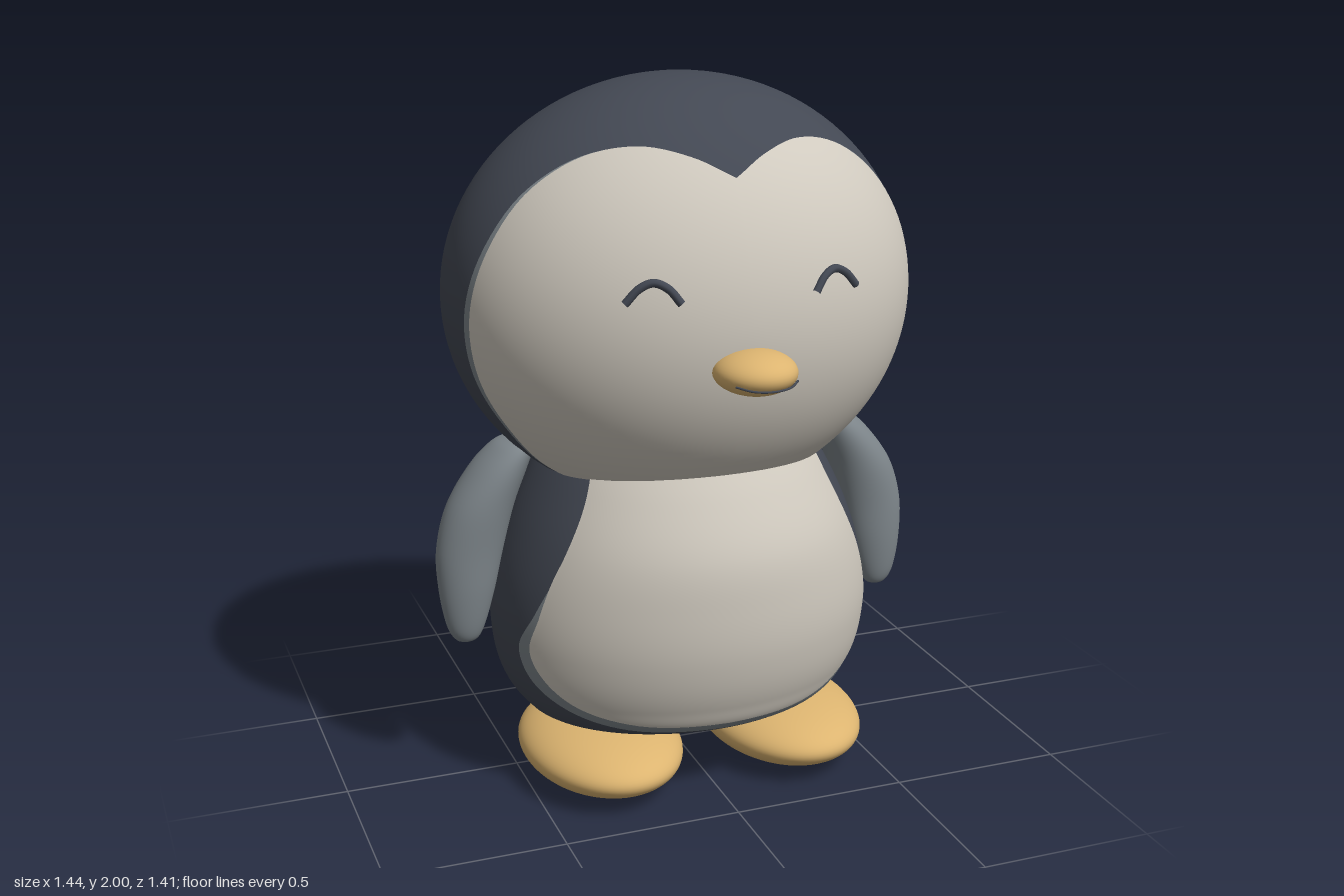
import * as THREE from 'three';
import { mergeVertices } from 'three/addons/utils/BufferGeometryUtils.js';
import { RoundedBoxGeometry } from 'three/addons/geometries/RoundedBoxGeometry.js';

const material = (name, color) => {
  const m = new THREE.MeshStandardMaterial({ color });
  m.name = name;
  return m;
};

export function createModel() {
  const dark = material('darkSlate', 0x434853);
  const cream = material('cream', 0xd0cabf);
  const grey = material('grey', 0x7d858a);
  const gold = material('gold', 0xdcb470);

  const model = new THREE.Group();
  model.name = 'penguin';

  const add = (name, geometry, mat, x = 0, y = 0, z = 0, parent = model) => {
    const mesh = new THREE.Mesh(geometry, mat);
    mesh.name = name;
    mesh.position.set(x, y, z);
    parent.add(mesh);
    return mesh;
  };
  const ellipsoid = (rx, ry, rz, n = 40) => new THREE.SphereGeometry(1, n * 2, n).scale(rx, ry, rz);
  const tube = (points, radius, n = 32) =>
    new THREE.TubeGeometry(new THREE.CatmullRomCurve3(points.map((p) => new THREE.Vector3(...p))), n, radius, 8);

  // Smooth grid surface; the outside faces du x dv
  const surface = (nu, nv, at) => {
    const positions = [], index = [];
    for (let j = 0; j <= nv; j++) {
      for (let i = 0; i <= nu; i++) positions.push(...at(i / nu, j / nv));
    }
    for (let j = 0; j < nv; j++) {
      for (let i = 0; i < nu; i++) {
        const a = j * (nu + 1) + i, d = a + nu + 1;
        index.push(a, a + 1, d + 1, a, d + 1, d);
      }
    }
    let g = new THREE.BufferGeometry();
    g.setAttribute('position', new THREE.Float32BufferAttribute(positions, 3));
    g.setIndex(index);
    g = mergeVertices(g, 1e-5);
    g.computeVertexNormals();
    return g;
  };
  // Smooth lookup in rows of [key, ...values]
  const lookup = (rows) => {
    const f = new THREE.CubicInterpolant(
      new Float32Array(rows.map((r) => r[0])),
      new Float32Array(rows.flatMap((r) => r.slice(1))),
      rows[0].length - 1,
      new Float32Array(rows[0].length - 1));
    return (t) => Array.from(f.evaluate(t));
  };
  const outline = (points) => new THREE.CatmullRomCurve3(points.map(([x, y]) => new THREE.Vector3(x, y, 0)));

  // Head
  const R = [0.665, 0.6, 0.56], headY = 1.4;
  add('head', ellipsoid(...R, 56), dark, 0, headY, 0);
  const headZ = (x, y) => R[2] * Math.sqrt(Math.max(0, 1 - (x / R[0]) ** 2 - ((y - headY) / R[1]) ** 2));

  // Heart-shaped face and its grey rim, following the head
  const faceEdge = outline([[0, 1.775], [0.1, 1.825], [0.22, 1.85], [0.36, 1.82], [0.5, 1.72], [0.6, 1.56],
    [0.636, 1.4], [0.615, 1.24], [0.545, 1.1], [0.41, 0.95], [0.25, 0.9], [0, 0.88]]);
  const facePatch = (widen, lift) => surface(128, 32, (u, v) => {
    const p = faceEdge.getPoint(u < 0.5 ? 2 * u : 2 - 2 * u);
    const s = Math.sin((1 - v) * Math.PI / 2);
    const x = p.x * (u < 0.5 ? -1 : 1) * widen * s;
    const y = (p.y - headY) * s;
    return [x * lift, headY + y * lift, headZ(x, headY + y) * lift];
  });
  add('faceRim', facePatch(1.014, 1.003), grey);
  add('face', facePatch(1, 1.006), cream);

  // Smiling eyes
  for (const side of [-1, 1]) {
    const arc = [[0.185, 1.485], [0.215, 1.523], [0.25, 1.538], [0.285, 1.523], [0.32, 1.485]];
    add(side > 0 ? 'leftEye' : 'rightEye',
      tube(arc.map(([x, y]) => [side * x, y, headZ(x, y) + 0.006]), 0.011), dark);
  }

  // Beak and mouth line
  add('beak', ellipsoid(0.11, 0.058, 0.115, 24), gold, 0, 1.302, 0.578);
  add('mouth', tube([[-0.085, 1.29, 0.657], [-0.05, 1.283, 0.688], [0, 1.28, 0.698], [0.05, 1.283, 0.688],
    [0.085, 1.29, 0.657]], 0.003), dark);

  // Body: half width, front depth and back depth by height
  const bodyAt = lookup([
    [0.15, 0.33, 0.22, 0.29], [0.175, 0.42, 0.31, 0.36], [0.22, 0.475, 0.395, 0.385], [0.3, 0.525, 0.445, 0.405],
    [0.45, 0.555, 0.49, 0.42], [0.6, 0.545, 0.5, 0.418], [0.75, 0.5, 0.485, 0.4], [0.9, 0.43, 0.42, 0.365],
    [1.0, 0.37, 0.36, 0.335], [1.1, 0.3, 0.3, 0.29]]);
  add('body', surface(96, 60, (u, v) => {
    if (v === 0) return [0, 0.145, 0];
    const y = 0.15 + 0.95 * (v - 1 / 60) / (1 - 1 / 60);
    const [rx, front, back] = bodyAt(Math.min(y, 1.0999));
    const a = u * Math.PI * 2, c = Math.cos(a);
    return [rx * Math.sin(a), y, c * (c > 0 ? front : back)];
  }), dark);

  // Belly and its grey rim, following the body
  const bellyPatch = (points, lift) => {
    const edge = outline(points);
    return surface(64, 64, (u, v) => {
      const p = edge.getPoint(v);
      const [rx, front] = bodyAt(p.y);
      const a = Math.asin(Math.min(1, Math.max(0, p.x) / rx)) * (u * 2 - 1);
      return [(rx + lift) * Math.sin(a), p.y, (front + lift) * Math.cos(a)];
    });
  };
  const bellyTop = [[0.455, 0.66], [0.415, 0.75], [0.355, 0.88], [0.31, 1.0]];
  add('bellyRim', bellyPatch([[0, 0.215], [0.27, 0.23], [0.42, 0.28], [0.497, 0.35], [0.525, 0.45],
    [0.492, 0.57], ...bellyTop], 0.003), grey);
  add('belly', bellyPatch([[0, 0.245], [0.25, 0.255], [0.4, 0.3], [0.475, 0.37], [0.505, 0.45],
    [0.485, 0.56], ...bellyTop], 0.006), cream);

  // Wings: x centre, x radius, z centre, z radius by height
  const wingRows = [
    [0.425, 0.645, 0, 0.02, 0], [0.435, 0.642, 0.032, 0.02, 0.025], [0.48, 0.642, 0.056, 0.02, 0.042],
    [0.58, 0.635, 0.08, 0.015, 0.06], [0.7, 0.62, 0.096, 0.005, 0.075], [0.82, 0.585, 0.096, -0.005, 0.09],
    [0.92, 0.53, 0.082, -0.015, 0.095], [0.98, 0.485, 0.062, -0.02, 0.083], [1.0, 0.46, 0.04, -0.02, 0.055],
    [1.008, 0.45, 0, -0.02, 0]];
  const wingPath = lookup(wingRows.map((r, i) => [i, ...r]));
  for (const side of [-1, 1]) {
    add(side > 0 ? 'leftWing' : 'rightWing', surface(40, 54, (u, v) => {
      const [y, cx, rx, cz, rz] = wingPath(v * 8.9999);
      const a = u * Math.PI * 2;
      return [side * cx + Math.max(0, rx) * Math.sin(a), y, cz + Math.max(0, rz) * Math.cos(a)];
    }), grey);
    add(side > 0 ? 'leftFoot' : 'rightFoot', ellipsoid(0.228, 0.095, 0.325), gold, side * 0.28, 0.1, 0.115);
  }

  // Backpack with flap, side box, button, pocket seam and handle
  const pack = new THREE.Group();
  pack.name = 'backpack';
  model.add(pack);
  const part = (name, g, mat, x, y, z) => add(name, g, mat, x, y, z, pack);
  part('packBody', new RoundedBoxGeometry(0.36, 0.44, 0.14, 5, 0.05), grey, -0.01, 0.865, -0.44);
  part('packFlap', new RoundedBoxGeometry(0.34, 0.21, 0.035, 3, 0.012), grey, -0.01, 0.965, -0.505);
  part('packTop', new RoundedBoxGeometry(0.35, 0.12, 0.13, 4, 0.03), grey, -0.01, 1.03, -0.44);
  part('sideBox', new RoundedBoxGeometry(0.11, 0.125, 0.075, 3, 0.012), grey, 0.2, 0.977, -0.437);
  part('sideKnob', new THREE.CylinderGeometry(0.018, 0.018, 0.05, 16).rotateZ(Math.PI / 2), grey, 0.265, 1.0, -0.395);
  part('button', ellipsoid(0.012, 0.012, 0.012, 10), grey, 0.12, 0.79, -0.515);
  part('pocketSeam', tube([[0.14, 0.755, -0.51], [0.08, 0.728, -0.511], [0, 0.718, -0.511], [-0.08, 0.722, -0.511],
    [-0.15, 0.735, -0.508]], 0.004), dark);
  for (const x of [-0.13, 0.11]) {
    part('topStud', ellipsoid(0.018, 0.018, 0.018, 10), grey, x, 1.085, -0.465);
  }
  part('handle', tube([[0.12, 0.95, -0.5], [0.14, 0.95, -0.6], [0.17, 0.95, -0.665], [0.21, 0.95, -0.685],
    [0.26, 0.95, -0.665], [0.28, 0.95, -0.61], [0.28, 0.95, -0.52], [0.24, 0.95, -0.45]], 0.013, 48), grey);
  part('handleGrip', ellipsoid(0.024, 0.024, 0.031, 14), dark, 0.21, 0.95, -0.675);

  return model;
}
